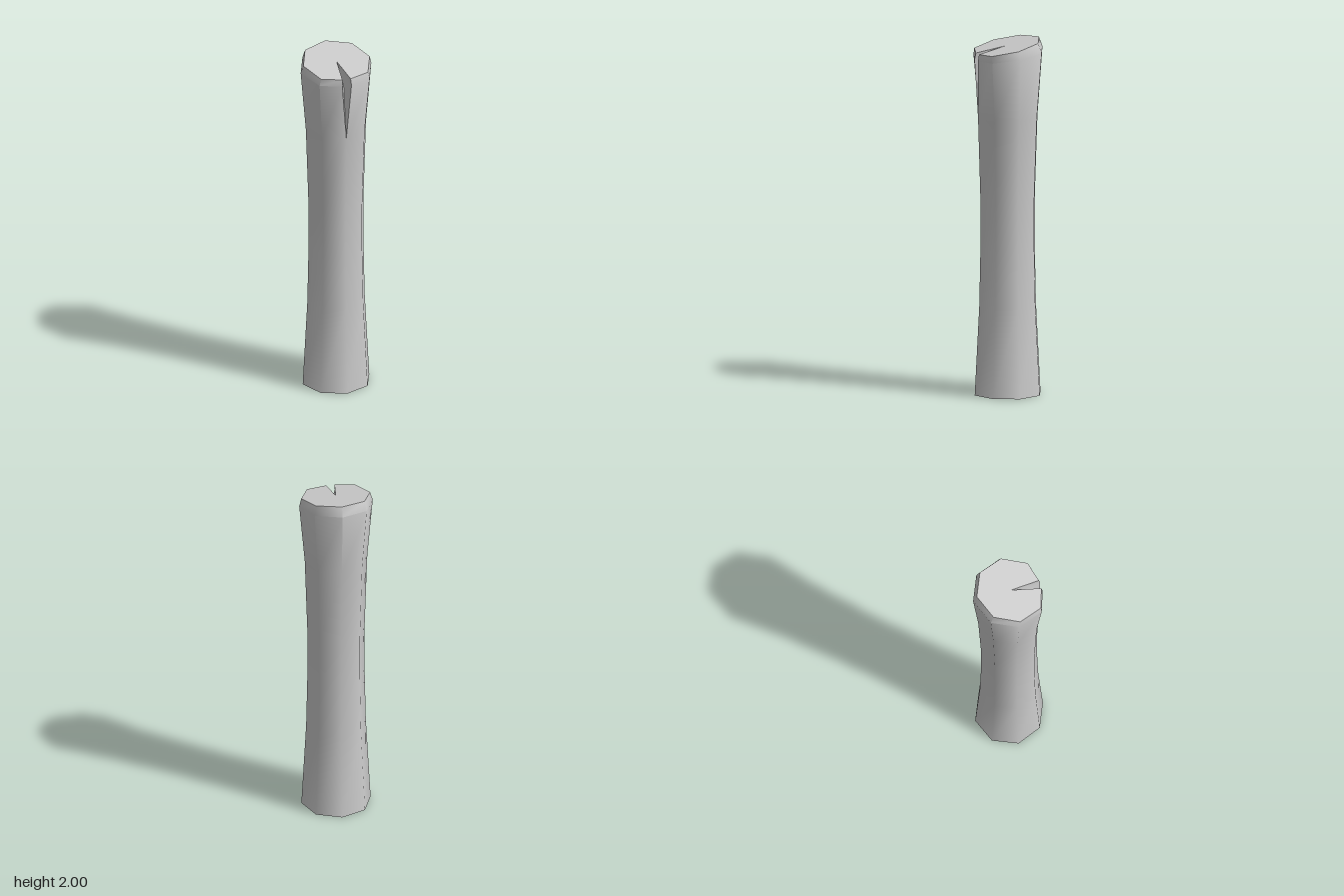
import * as THREE from 'three';
import { toCreasedNormals } from 'three/addons/utils/BufferGeometryUtils.js';

const SIDES = 8;

// Rings from bottom to top: height, radius, z centre, slope of the ring in z,
// half width of the split at the front corner, and z of that corner
const RINGS = [
  { y: 0, r: 0.195, cz: 0.004 },
  { y: 0.5, r: 0.168, cz: 0.004 },
  { y: 0.83, r: 0.161, cz: 0.004 },
  { y: 1.1, r: 0.161, cz: 0.004 },
  { y: 1.56, r: 0.176, cz: 0.003 },
  { y: 1.915, r: 0.207, cz: 0.004, slope: -0.14, lip: 0.027, lipZ: 0.19 },
  { y: 1.963, r: 0.194, cz: 0.0125, slope: -0.2, lip: 0.024, lipZ: 0.183 },
];

// Corner k of a ring, counted from the front towards +x; 0 and 8 are the two lips
function corner({ y, r, cz, slope = 0, lip = 0, lipZ }, k) {
  const a = (k / SIDES) * Math.PI * 2;
  let x = r * Math.sin(a);
  let z = cz + r * Math.cos(a);
  if (k % SIDES === 0) {
    x = k === 0 ? lip : -lip;
    z = lipZ ?? z;
  }
  return [x, y + slope * z, z];
}

function makeMesh(name, triangles) {
  const geometry = new THREE.BufferGeometry();
  geometry.setAttribute('position', new THREE.Float32BufferAttribute(triangles.flat(2), 3));
  const mesh = new THREE.Mesh(
    toCreasedNormals(geometry, THREE.MathUtils.degToRad(50)),
    new THREE.MeshStandardMaterial({ color: 0xcccccc })
  );
  mesh.name = name;
  return mesh;
}

export function createModel() {
  const group = new THREE.Group();
  group.name = 'woodenPost';
  const rings = RINGS.map((ring) => Array.from({ length: SIDES + 1 }, (_, k) => corner(ring, k)));
  const top = rings.length - 1;
  const notchEnd = [0, 1.96, 0.015];
  const notchFloor = [0, 1.86, 0.135];
  const tip = rings[top - 2][0];

  // Waisted shaft with a bevelled rim
  const shaft = [];
  for (let i = 0; i < top; i++) {
    for (let k = 0; k < SIDES; k++) {
      const [a, b] = [rings[i][k], rings[i][k + 1]];
      const [d, c] = [rings[i + 1][k], rings[i + 1][k + 1]];
      shaft.push([a, b, c], [a, c, d]);
    }
  }
  group.add(makeMesh('shaft', shaft));

  // Sloping top cut, fanned from the inner end of the split, and the flat base
  const topCut = [];
  const base = [];
  for (let k = 0; k < SIDES; k++) {
    topCut.push([notchEnd, rings[top][k], rings[top][k + 1]]);
    base.push([[0, 0, 0.004], rings[0][k + 1], rings[0][k]]);
  }
  group.add(makeMesh('topCut', topCut), makeMesh('base', base));

  // V-shaped split running in from the front rim and down to a point
  const split = [];
  for (const k of [0, SIDES]) {
    const [upper, rim] = [rings[top][k], rings[top - 1][k]];
    const wall = [
      [notchEnd, rim, upper],
      [notchEnd, notchFloor, rim],
      [notchFloor, tip, rim],
    ];
    split.push(...(k === 0 ? wall : wall.map(([a, b, c]) => [a, c, b])));
  }
  group.add(makeMesh('split', split));

  return group;
}
